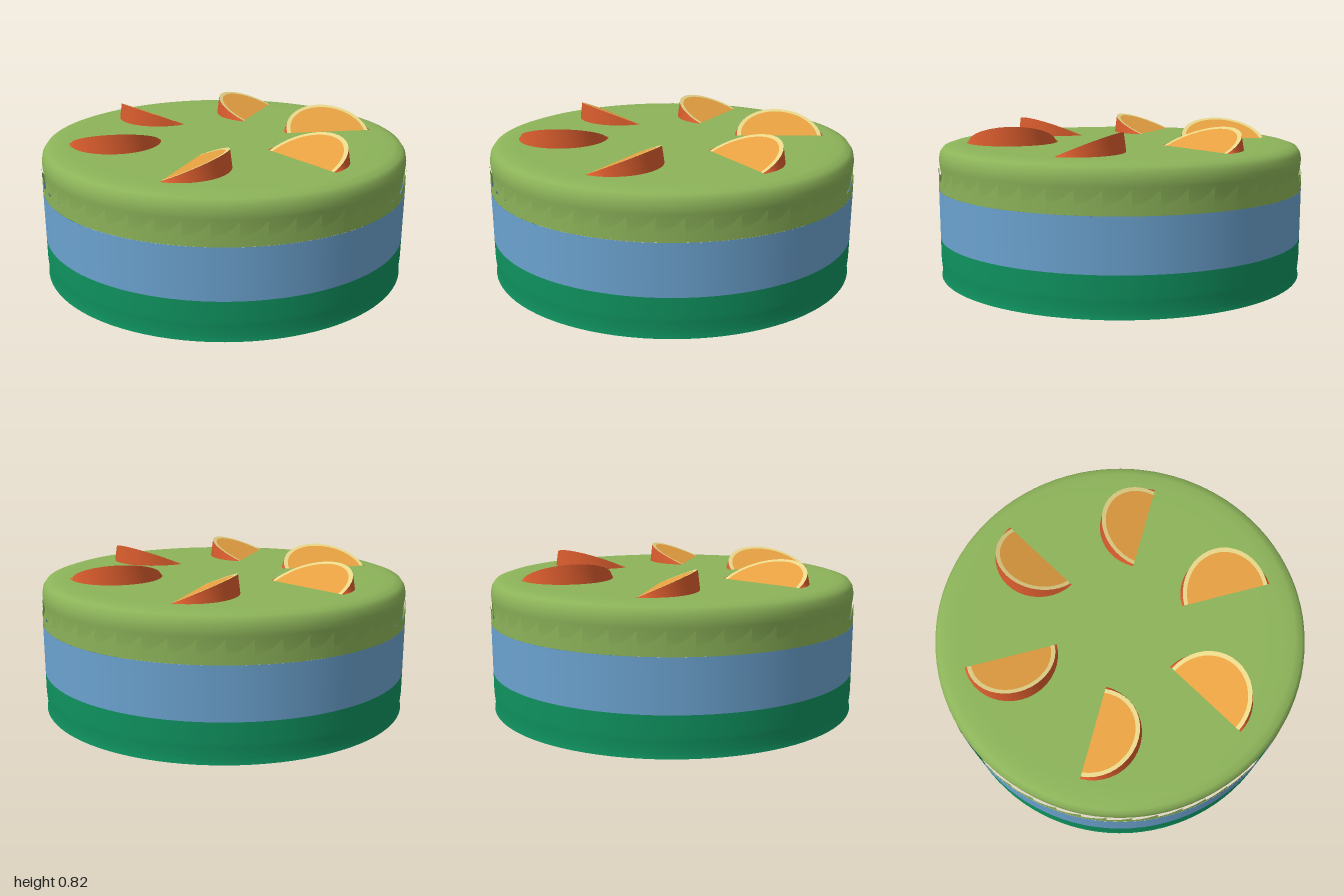
import * as THREE from 'three';

const flat = (name, color) => new THREE.MeshStandardMaterial({ name, color, side: THREE.DoubleSide });

const materials = {
  base: flat('deep green', 0x0f925f),
  band: flat('blue', 0x6ba2cf),
  frosting: flat('leaf green', 0x8cb359),
  flesh: flat('orange flesh', 0xe6a041),
  pith: flat('pale pith', 0xe9d78a),
  rind: flat('red orange rind', 0xd55a2c),
};

const part = (name, geometry, material) => {
  const mesh = new THREE.Mesh(geometry, material);
  mesh.name = name;
  return mesh;
};

// Lathe from a profile listed bottom to top
const lathe = (profile) =>
  new THREE.LatheGeometry(profile.map(([r, y]) => new THREE.Vector2(r, y)), 96);

// Surface between two matching rows of points
function loft(rowA, rowB) {
  const geometry = new THREE.BufferGeometry();
  const n = rowA.length;
  const index = [];
  for (let i = 0; i < n - 1; i++) {
    index.push(i, i + 1, n + i, i + 1, n + i + 1, n + i);
  }
  geometry.setAttribute('position', new THREE.Float32BufferAttribute([...rowA, ...rowB].flat(), 3));
  geometry.setIndex(index);
  geometry.computeVertexNormals();
  return geometry;
}

// Flat-bottomed icing border whose upper edge is a row of curled teeth
function frillGeometry() {
  const teeth = 48, steps = 6, radius = 0.999;
  const low = [], high = [];
  for (let t = 0; t < teeth; t++) {
    for (let s = 0; s <= steps; s++) {
      const u = s / steps;
      const a = ((t + u) / teeth) * Math.PI * 2;
      const x = Math.sin(a) * radius, z = Math.cos(a) * radius;
      low.push([x, 0.48, z]);
      high.push([x, 0.53 + 0.07 * u * u, z]);
    }
  }
  return loft(low, high);
}

// Half slice of orange: straight edge sunk in the icing, round edge raised
function createSlice() {
  const radius = 0.235, steps = 20, ground = 0.719, rise = 0.101;
  const arc = (r, lifted = true) => {
    const row = [];
    for (let i = 0; i <= steps; i++) {
      const a = -Math.PI / 2 + (i / steps) * Math.PI;
      const x = Math.cos(a) * r;
      row.push([x, ground + (lifted ? (rise * x) / radius : 0), Math.sin(a) * r]);
    }
    return row;
  };
  const inner = arc(0.213), outer = arc(radius);
  const chord = inner.map(([, , z]) => [0, ground, z]);

  const slice = new THREE.Group();
  slice.name = 'orangeSlice';
  slice.add(
    part('sliceFlesh', loft(chord, inner), materials.flesh),
    part('slicePith', loft(inner, outer), materials.pith),
    part('sliceRind', loft(outer, arc(radius + 0.012, false)), materials.rind),
  );
  return slice;
}

export function createModel() {
  const cake = new THREE.Group();
  cake.name = 'cake';

  // Hollow cake wall: base layer with a shallow groove, then the blue band
  cake.add(part('baseLayer', lathe([[1, 0], [0.994, 0.03], [0.999, 0.085], [1, 0.11], [1, 0.21]]), materials.base));
  cake.add(part('middleBand', lathe([[1, 0.21], [1, 0.48]]), materials.band));

  // Icing cap with a rounded shoulder that overhangs the border
  cake.add(part('frostingCap', lathe([
    [0.985, 0.52], [0.986, 0.56], [0.993, 0.61], [0.995, 0.64], [0.988, 0.675],
    [0.97, 0.7], [0.93, 0.713], [0.86, 0.717], [0.75, 0.718], [0, 0.718],
  ]), materials.frosting));
  cake.add(part('frostingFrill', frillGeometry(), materials.frosting));

  // Six slices in a ring
  for (let i = 0; i < 6; i++) {
    const slice = createSlice();
    slice.position.set(-0.095, 0, 0.59);
    slice.rotation.y = -0.19;
    const spoke = new THREE.Group();
    spoke.name = 'slicePlace';
    spoke.rotation.y = (i * Math.PI) / 3;
    spoke.add(slice);
    cake.add(spoke);
  }
  return cake;
}
